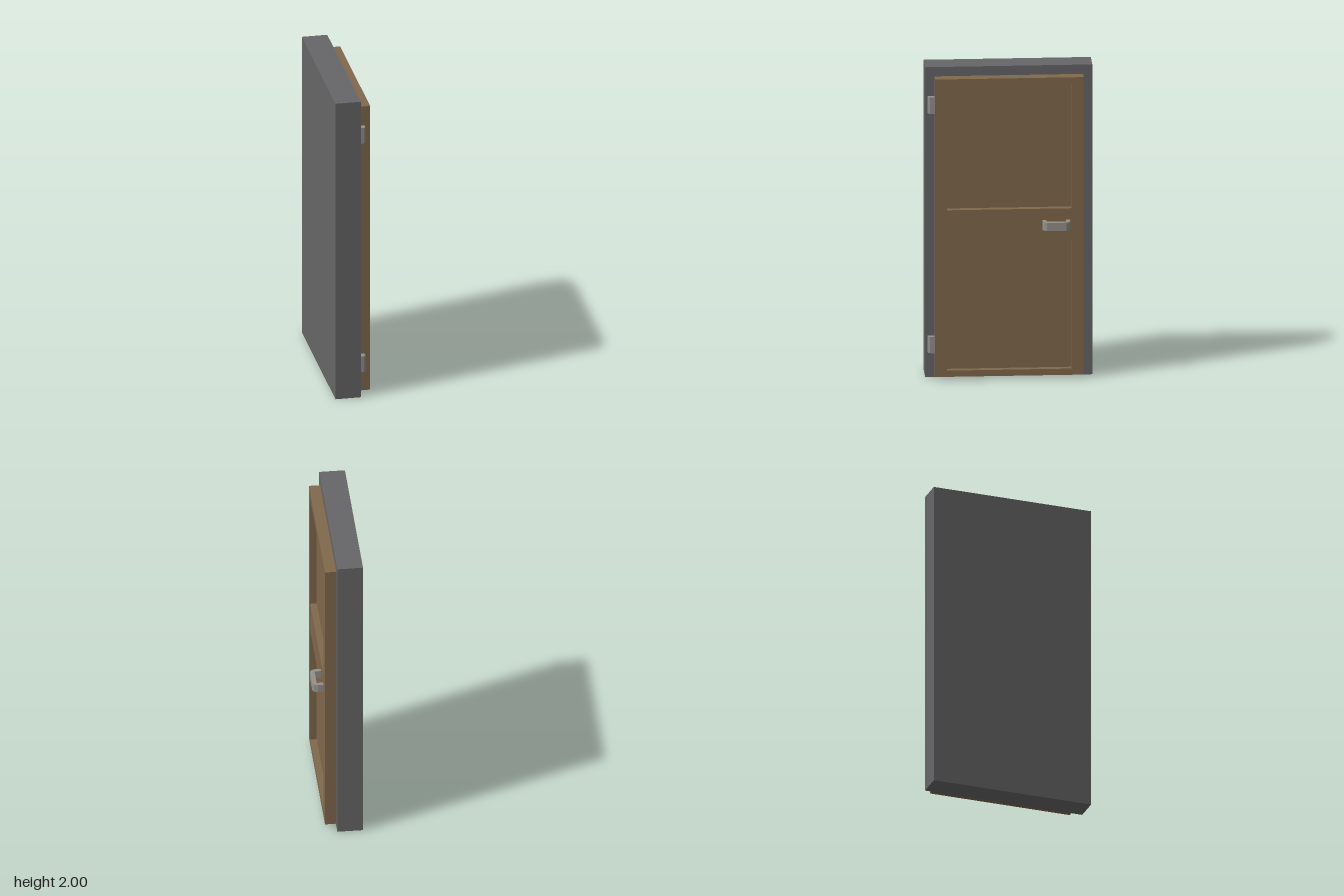
import * as THREE from 'three';

const material = (color) => new THREE.MeshStandardMaterial({ color, flatShading: true });

const polygon = (points) => points.map(([x, y]) => new THREE.Vector2(x, y));

const rectangle = (u, v0, v1) => polygon([[-u, v0], [u, v0], [u, v1], [-u, v1]]);

// Extrudes a plan outline of [x, z] points upward from y0 to y1
function upright(points, y0, y1) {
  const shape = new THREE.Shape(polygon(points.map(([x, z]) => [x, -z])));
  const geometry = new THREE.ExtrudeGeometry(shape, { depth: y1 - y0, bevelEnabled: false });
  return geometry.rotateX(-Math.PI / 2).translate(0, y0, 0);
}

export function createModel() {
  const model = new THREE.Group();
  model.name = 'door';
  const stone = material(0x666668);
  const wood = material(0x80684c);
  const metal = material(0x94918c);

  const add = (name, geometry, mat, parent = model) => {
    const mesh = new THREE.Mesh(geometry, mat);
    mesh.name = name;
    parent.add(mesh);
  };

  // Solid slab behind the door
  add('doorFrame', new THREE.BoxGeometry(0.16, 2, 1.035).translate(-0.07, 1, 0), stone);

  // Leaf: stiles and rails around two openings, closed by recessed panels
  const leaf = new THREE.Group();
  leaf.name = 'doorLeaf';
  model.add(leaf);
  const panelHalf = 0.385;
  const panels = [['lowerPanel', 0.06, 0.89], ['upperPanel', 1.095, 1.89]];
  const outline = new THREE.Shape(rectangle(0.46, 0.02, 1.94));
  for (const [name, y0, y1] of panels) {
    outline.holes.push(new THREE.Path(rectangle(panelHalf, y0, y1)));
    const panel = new THREE.BoxGeometry(0.03, y1 - y0, panelHalf * 2);
    add(name, panel.translate(0.025, (y0 + y1) / 2, 0), wood, leaf);
  }
  const rails = new THREE.ExtrudeGeometry(outline, { depth: 0.07, bevelEnabled: false });
  add('stilesAndRails', rails.rotateY(Math.PI / 2).translate(0.01, 0, 0), wood, leaf);

  // Pull handle with faceted outer corners
  add('handle', upright([
    [0.08, -0.375], [0.116, -0.375], [0.139, -0.367], [0.149, -0.349],
    [0.149, -0.23], [0.139, -0.213], [0.116, -0.204], [0.08, -0.204],
    [0.08, -0.229], [0.12, -0.229], [0.12, -0.35], [0.08, -0.35],
  ], 0.97, 1.023), metal);

  // Hinges with a chamfered outer edge
  const hingePlan = [[0.01, 0.46], [0.044, 0.46], [0.044, 0.488], [0.033, 0.502], [0.01, 0.502]];
  for (const [name, y] of [['lowerHinge', 0.163], ['upperHinge', 1.708]]) {
    add(name, upright(hingePlan, y, y + 0.105), metal);
  }

  return model;
}
